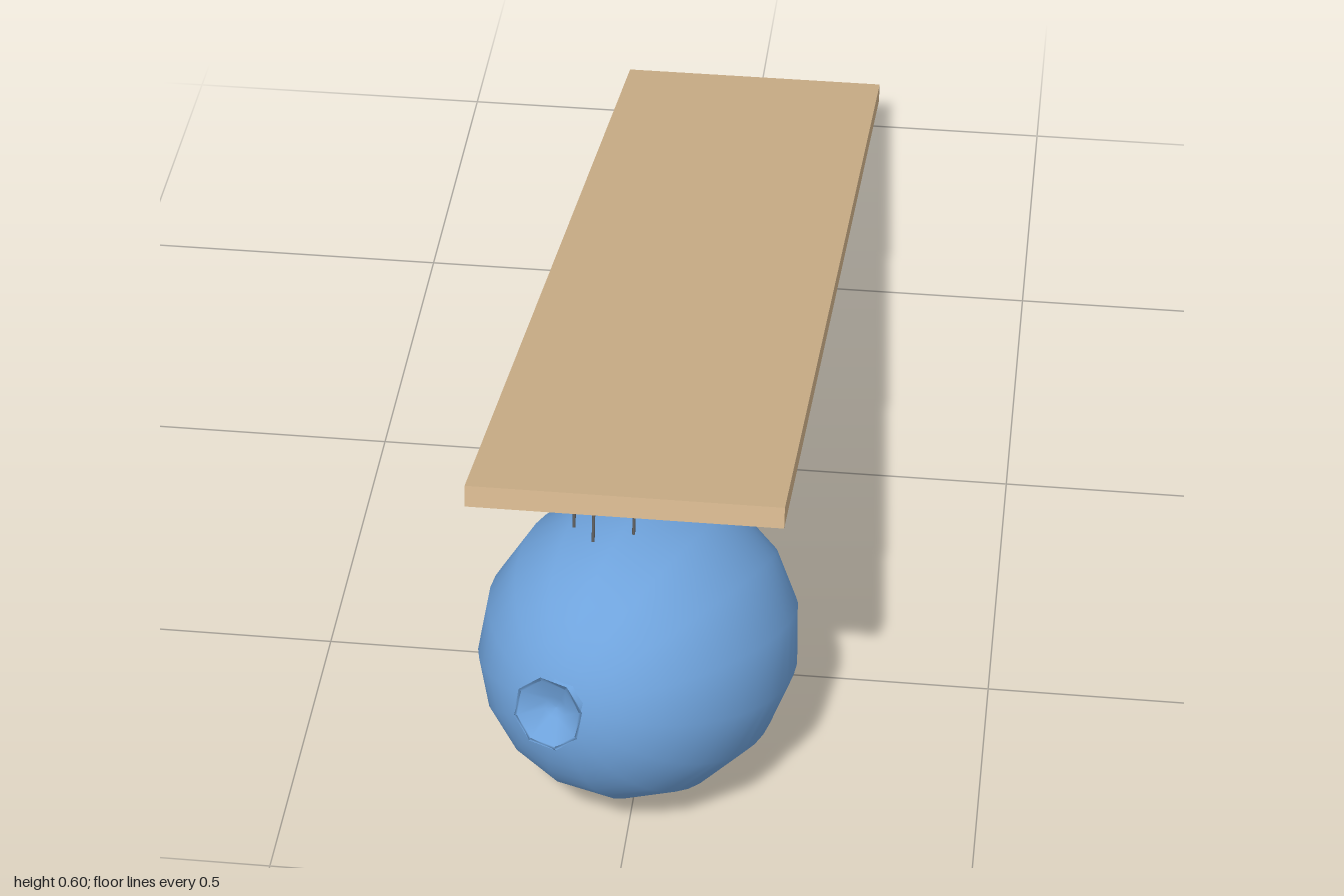
import * as THREE from 'three';

export function createModel() {
  const model = new THREE.Group();
  const wood = new THREE.MeshStandardMaterial({ name: 'wood', color: 0xd2b48c });
  const rubber = new THREE.MeshStandardMaterial({ name: 'blueRubber', color: 0x6fa3dc });
  const steel = new THREE.MeshStandardMaterial({ name: 'steel', color: 0x5c5c5c });

  const add = (parent, name, geometry, material) => {
    const mesh = new THREE.Mesh(geometry, material);
    mesh.name = name;
    parent.add(mesh);
    return mesh;
  };

  // Sloping plank, with its nails in the same tilted frame
  const tilt = 0.268, thickness = 0.031, centreZ = -0.0735;
  const board = new THREE.Group();
  board.name = 'nailBoard';
  board.position.set(-0.0025, 0.333, centreZ);
  board.rotation.x = -tilt;
  model.add(board);
  add(board, 'plank', new THREE.BoxGeometry(0.443, thickness, 1.913), wood);

  // Nails: x and z where each leaves the underside
  const nails = [
    [-0.055, 0.764], [-0.002, 0.73], [-0.088, 0.72],
    [-0.12, 0.667], [0.122, 0.667], [0.05, 0.62],
    [-0.12, 0.587], [-0.002, 0.57], [-0.055, 0.522], [-0.088, 0.48],
  ];
  const length = 0.08;
  const shaft = new THREE.CylinderGeometry(0.0022, 0.0022, length, 8);
  for (const [x, z] of nails) {
    const nail = add(board, 'nail', shaft, steel);
    const along = (z - centreZ - thickness / 2 * Math.sin(tilt)) / Math.cos(tilt);
    nail.position.set(x + 0.0025, -thickness / 2 - length / 2, along);
  }

  // Balloon, its long axis pointing out through the mouth
  const balloon = new THREE.Group();
  balloon.name = 'balloon';
  balloon.position.set(0, 0.2305, 0.705);
  balloon.quaternion.setFromUnitVectors(
    new THREE.Vector3(0, 1, 0),
    new THREE.Vector3(-0.319, 0.275, 0.907).normalize()
  );
  model.add(balloon);
  const body = new THREE.SphereGeometry(1, 15, 24);
  body.rotateY(Math.PI);
  body.scale(0.225, 0.265, 0.225);
  add(balloon, 'balloonBody', body, rubber);

  // Pinched neck flaring into an open, hollow mouth
  const profile = [
    [0.046, 0.252], [0.031, 0.266], [0.031, 0.274], [0.054, 0.3],
    [0.049, 0.3], [0.016, 0.276], [0, 0.274],
  ].map(([r, y]) => new THREE.Vector2(r, y));
  add(balloon, 'balloonMouth', new THREE.LatheGeometry(profile, 8), rubber);

  return model;
}
